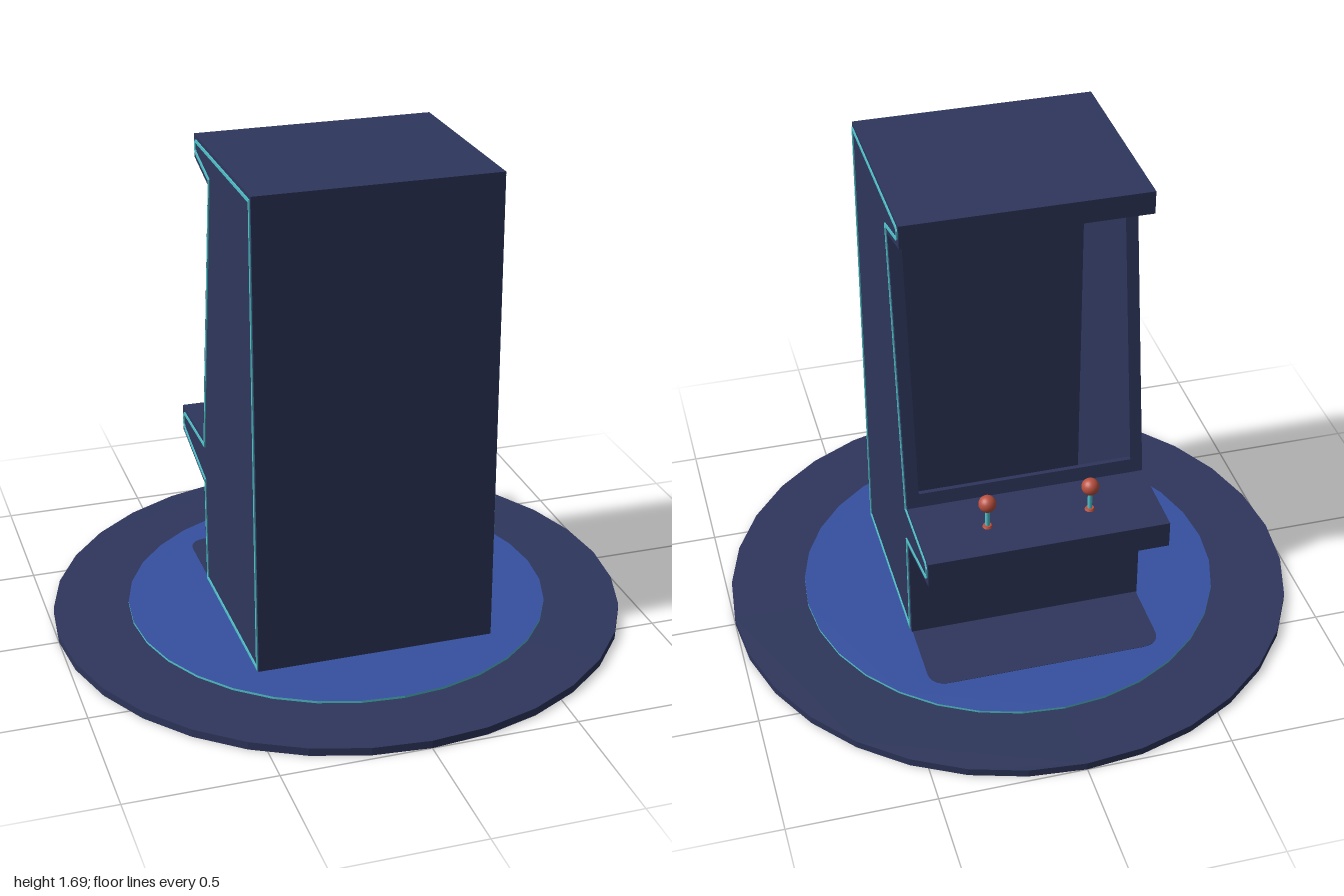
import * as THREE from 'three';

const mat = (name, color) => {
  const m = new THREE.MeshStandardMaterial({ color });
  m.name = name;
  return m;
};

const HALF = 0.413; // half width of the cabinet
const WALL = 0.02;  // board thickness

export function createModel() {
  const navy = mat('navy', 0x2e365c);
  const blue = mat('blue', 0x3650a0);
  const teal = mat('teal', 0x52c4cc);
  const red = mat('red', 0xb9503f);

  const root = new THREE.Group();
  root.name = 'arcadeCabinet';

  const add = (parent, name, geometry, material, x = 0, y = 0, z = 0) => {
    const mesh = new THREE.Mesh(geometry, material);
    mesh.name = name;
    mesh.position.set(x, y, z);
    parent.add(mesh);
    return mesh;
  };
  const polygon = pts => new THREE.Shape(pts.map(p => new THREE.Vector2(p[0], p[1])));
  const extrude = (shape, depth) =>
    new THREE.ExtrudeGeometry(shape, { depth, bevelEnabled: false, curveSegments: 16 });
  // Extrude a (z, y) outline across x, from x0 to x1
  const acrossX = (shape, x0, x1) =>
    extrude(shape, x1 - x0).rotateY(-Math.PI / 2).translate(x1, 0, 0);
  // Extrude a plan outline upward
  const upright = (shape, y, h) => extrude(shape, h).rotateX(-Math.PI / 2).translate(0, y, 0);
  const circle = r => new THREE.Shape().absarc(0, 0, r, 0, Math.PI * 2, false);

  // Round floor stand: outer ring and raised inner disc with a lit rim
  const stand = new THREE.Group();
  stand.name = 'stand';
  root.add(stand);
  const ring = circle(1);
  ring.holes.push(circle(0.732));
  add(stand, 'outerRing', upright(ring, 0, 0.027), navy);

  const disc = circle(0.737);
  // plan y is -z
  disc.holes.push(polygon([[-0.403, -0.44], [-0.403, 0.23], [0.403, 0.23], [0.403, -0.44]]));
  add(stand, 'innerDisc', upright(disc, 0.027, 0.008), [blue, teal]);

  // Dark floor mat under the control deck
  const mw = 0.41, m0 = 0.235, m1 = 0.525, r = 0.07;
  const matShape = new THREE.Shape();
  matShape.moveTo(-mw, m0);
  matShape.lineTo(mw, m0);
  matShape.lineTo(mw, m1 - r);
  matShape.quadraticCurveTo(mw, m1, mw - r, m1);
  matShape.lineTo(-mw + r, m1);
  matShape.quadraticCurveTo(-mw, m1, -mw, m1 - r);
  add(stand, 'floorMat', upright(matShape, 0.0265, 0.0095), navy);

  // Cabinet outline as (z, y), counterclockwise from the bottom back
  const outline = [
    [0.45, 0.026], [0.45, 1.69], [-0.25, 1.69], [-0.25, 1.61], [-0.08, 1.565],
    [-0.24, 0.585], [-0.54, 0.585], [-0.54, 0.49], [-0.24, 0.415], [-0.24, 0.026],
  ];
  const cabinet = new THREE.Group();
  cabinet.name = 'cabinet';
  root.add(cabinet);

  // Board along a-b with its thickness to the inside
  const inner = HALF - WALL;
  const board = (name, a, b, x0 = -inner, x1 = inner) => {
    const dz = b[0] - a[0], dy = b[1] - a[1], len = Math.hypot(dz, dy);
    const nz = -dy / len * WALL, ny = dz / len * WALL;
    const quad = [a, b, [b[0] + nz, b[1] + ny], [a[0] + nz, a[1] + ny]];
    add(cabinet, name, acrossX(polygon(quad), x0, x1), navy);
  };
  const names = ['rearPanel', 'roof', 'canopyFront', 'canopyUnderside', 'screenFrame',
    'controlDeck', 'deckFront', 'deckUnderside', 'lowerPanel'];
  names.forEach((name, i) => {
    const a = outline[i], b = outline[i + 1];
    if (name !== 'screenFrame') return board(name, a, b);
    // Open frame around the screen cavity
    const at = t => [a[0] + (b[0] - a[0]) * t, a[1] + (b[1] - a[1]) * t];
    const edge = inner - 0.022;
    board('frameTop', a, at(0.045), -edge, edge);
    board('frameBottom', at(0.95), b, -edge, edge);
    board('frameSideRight', a, b, -inner, -edge);
    board('frameSideLeft', a, b, edge, inner);
  });
  board('floorBoard', [-0.225, 0.05], [0.435, 0.05]);

  // Light strip that follows the outline of each side
  const path = [
    [0.441, 0.036], [0.441, 1.677], [-0.222, 1.677], [-0.236, 1.665], [-0.236, 1.637],
    [-0.222, 1.625], [-0.062, 1.583], [-0.222, 0.572], [-0.505, 0.572], [-0.525, 0.556],
    [-0.525, 0.518], [-0.505, 0.5], [-0.222, 0.43], [-0.222, 0.036],
  ];
  // Shrink a closed outline evenly with mitred corners
  const inset = (pts, d) => pts.map((p, i) => {
    const q = pts[(i + pts.length - 1) % pts.length], s = pts[(i + 1) % pts.length];
    const normal = (a, b) => new THREE.Vector2(a[1] - b[1], b[0] - a[0]).normalize();
    const n1 = normal(q, p), n2 = normal(p, s), k = d / (1 + n1.dot(n2));
    return [p[0] + (n1.x + n2.x) * k, p[1] + (n1.y + n2.y) * k];
  });
  const strip = polygon(path);
  strip.holes.push(polygon(inset(path, 0.011).reverse()));

  for (const side of [-1, 1]) {
    const label = side > 0 ? 'Left' : 'Right';
    const span = (a, b) => side > 0 ? [a, b] : [-b, -a];
    add(cabinet, 'sidePanel' + label, acrossX(polygon(outline), ...span(inner, HALF)), navy);
    add(cabinet, 'lightStrip' + label, acrossX(strip, ...span(HALF - 0.001, HALF + 0.004)), teal);

    // Joystick: collar, shaft and ball
    const stick = new THREE.Group();
    stick.name = 'joystick' + label;
    stick.position.set(side * 0.177, 0.585, -0.397);
    root.add(stick);
    add(stick, 'collar', new THREE.CylinderGeometry(0.014, 0.018, 0.008, 16), red, 0, 0.003, 0);
    add(stick, 'shaft', new THREE.CylinderGeometry(0.008, 0.008, 0.08, 12), teal, 0, 0.04, 0);
    add(stick, 'ball', new THREE.SphereGeometry(0.03, 20, 14), red, 0, 0.095, 0);
  }
  return root;
}
